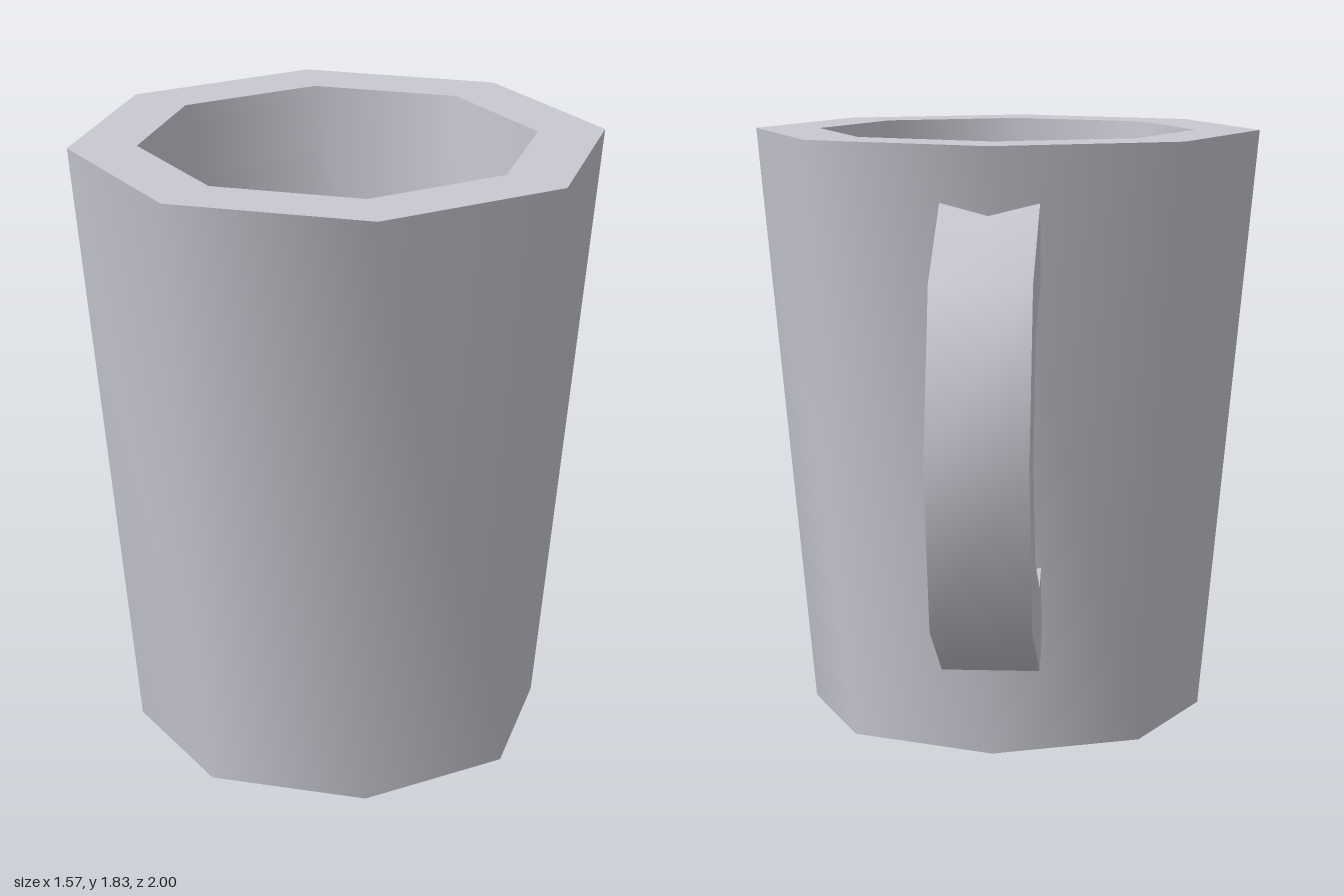
import * as THREE from 'three';
import { toCreasedNormals } from 'three/addons/utils/BufferGeometryUtils.js';

const v2 = ([x, y]) => new THREE.Vector2(x, y);

export function createModel() {
  const mug = new THREE.Group();
  mug.name = 'mug';
  const grey = new THREE.MeshStandardMaterial({ color: 0xc8c8d2 });
  grey.name = 'light grey';

  // Eight-sided cup: underside, tapering outer wall, flat rim, inner wall, floor
  const profile = [
    [0, 0], [0.615, 0], [0.785, 1.83], [0.585, 1.83], [0.495, 0.2], [0, 0.2],
  ].map(v2);
  const cup = new THREE.Mesh(
    toCreasedNormals(new THREE.LatheGeometry(profile, 8).toNonIndexed(), 1.0), grey);
  cup.name = 'cup';
  cup.position.z = 0.21;
  mug.add(cup);

  // Faceted handle: outer edge down, inner edge back up, ends sunk in the wall
  const outline = [
    [0.45, 1.69], [0.845, 1.47], [1, 0.98], [0.845, 0.485], [0.475, 0.277], [0.35, 0.348],
    [0.35, 0.6], [0.475, 0.53], [0.715, 0.66], [0.81, 0.98], [0.715, 1.295], [0.45, 1.438],
  ].map(v2);
  const width = 0.29;
  const band = new THREE.ExtrudeGeometry(new THREE.Shape(outline), {
    depth: width, bevelEnabled: false,
  });
  band.translate(0, 0, -width / 2);
  band.rotateY(Math.PI / 2); // outline x points to the back
  const handle = new THREE.Mesh(toCreasedNormals(band, 1.2), grey);
  handle.name = 'handle';
  mug.add(handle);

  return mug;
}
